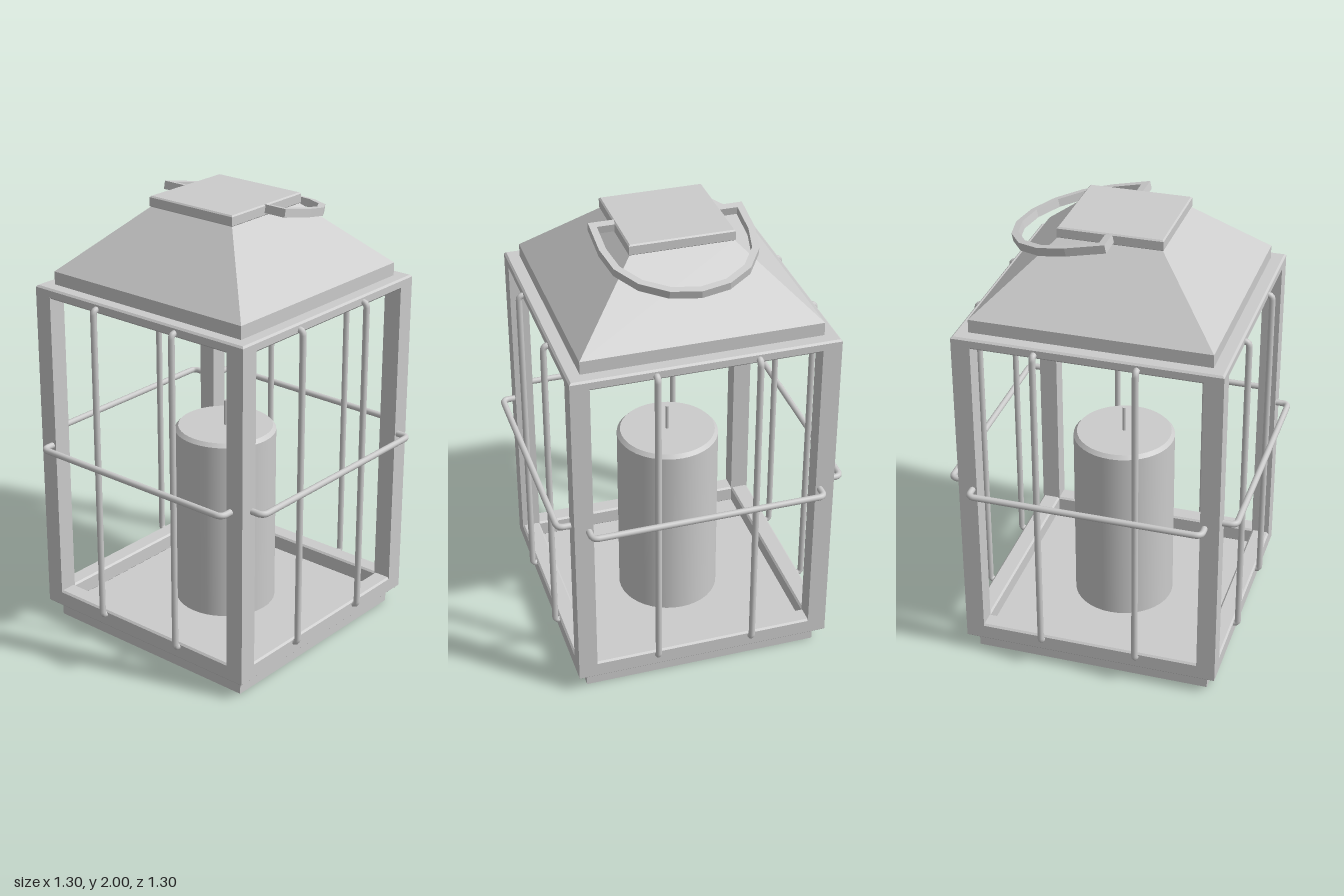
import * as THREE from 'three';

const flat = new THREE.MeshStandardMaterial({ color: 0xcccccc, flatShading: true });
const smooth = new THREE.MeshStandardMaterial({ color: 0xcccccc });

function add(parent, name, geometry, material = flat, x = 0, y = 0, z = 0) {
  const mesh = new THREE.Mesh(geometry, material);
  mesh.name = name;
  mesh.position.set(x, y, z);
  parent.add(mesh);
  return mesh;
}

// Box centred on x and z, between two heights
function slab(parent, name, half, y0, y1) {
  return add(parent, name, new THREE.BoxGeometry(half * 2, y1 - y0, half * 2), flat, 0, (y0 + y1) / 2, 0);
}

function square(Type, half) {
  return new Type([[-1, -1], [1, -1], [1, 1], [-1, 1]].map(([x, y]) => new THREE.Vector2(x * half, y * half)));
}

// Square ring (or plate, when inner is 0) lying flat with small chamfers
function rail(parent, name, outer, inner, y0, y1, bevel) {
  const shape = square(THREE.Shape, outer);
  if (inner) shape.holes.push(square(THREE.Path, inner));
  const geometry = new THREE.ExtrudeGeometry(shape, {
    depth: y1 - y0 - bevel * 2, bevelThickness: bevel, bevelSize: bevel, bevelOffset: -bevel, bevelSegments: 1,
  });
  geometry.rotateX(-Math.PI / 2);
  return add(parent, name, geometry, flat, 0, y0 + bevel, 0);
}

// Round rod bent along corner points with filleted corners
function bentRod(parent, name, corners, fillet) {
  const path = new THREE.CurvePath();
  const p = corners.map((c) => new THREE.Vector3(...c));
  let from = p[0];
  for (let i = 1; i < p.length - 1; i++) {
    const a = p[i].clone().add(p[i - 1].clone().sub(p[i]).setLength(fillet));
    const b = p[i].clone().add(p[i + 1].clone().sub(p[i]).setLength(fillet));
    path.add(new THREE.LineCurve3(from, a));
    path.add(new THREE.QuadraticBezierCurve3(a, p[i], b));
    from = b;
  }
  path.add(new THREE.LineCurve3(from, p[p.length - 1]));
  return add(parent, name, new THREE.TubeGeometry(path, 160, 0.014, 10), smooth);
}

export function createModel() {
  const model = new THREE.Group();
  model.name = 'lantern';
  const body = new THREE.Group();
  body.name = 'body';
  body.position.set(-0.005, 0, 0.004);
  model.add(body);

  // Plinth and open frame
  slab(body, 'plinth', 0.535, 0, 0.076);
  rail(body, 'bottomRail', 0.578, 0.495, 0.072, 0.152, 0.008);
  rail(body, 'topRail', 0.578, 0.495, 1.57, 1.617, 0.008);
  slab(body, 'ceiling', 0.5, 1.575, 1.61);
  for (const x of [-1, 1]) {
    for (const z of [-1, 1]) {
      add(body, 'cornerPost', new THREE.BoxGeometry(0.083, 1.525, 0.083), flat, x * 0.5365, 0.8445, z * 0.5365);
    }
  }

  // Guard rods, the same on every side
  for (let i = 0; i < 4; i++) {
    const side = new THREE.Group();
    side.name = 'guard';
    side.rotation.y = i * Math.PI / 2;
    body.add(side);
    for (const x of [-0.218, 0.218]) {
      bentRod(side, 'uprightRod',
        [[x, 0.133, 0.55], [x, 0.133, 0.596], [x, 1.588, 0.596], [x, 1.588, 0.55]], 0.02);
    }
    bentRod(side, 'crossRod',
      [[-0.515, 0.88, 0.55], [-0.515, 0.88, 0.636], [0.515, 0.88, 0.636], [0.515, 0.88, 0.55]], 0.03);
  }

  // Roof: straight lip, sloping sides and cap
  slab(body, 'roofLip', 0.52, 1.61, 1.675);
  const slope = new THREE.CylinderGeometry(0.222 * Math.SQRT2, 0.52 * Math.SQRT2, 0.28, 4, 1);
  slope.rotateY(Math.PI / 4);
  add(body, 'roofSlope', slope, flat, 0, 1.815, 0);
  rail(body, 'roofCap', 0.228, 0, 1.95, 2, 0.006);

  // Candle with a softened top edge, and its wick
  const candle = [[0, 0.076], [0.228, 0.076], [0.228, 0.076], [0.228, 0.915], [0.228, 0.915],
    [0.213, 0.932], [0.213, 0.932], [0, 0.932]];
  const profile = candle.map(([r, y]) => new THREE.Vector2(r, y));
  for (const [name, from, to] of [['candleSide', 1, 4], ['candleEdge', 4, 6], ['candleTop', 6, 8]]) {
    add(model, name, new THREE.LatheGeometry(profile.slice(from === 1 ? 2 : from, to), 40), smooth);
  }
  add(model, 'wick', new THREE.CylinderGeometry(0.008, 0.008, 0.13, 10), smooth, 0, 0.985, 0);

  // Folded carrying handle: flat strap bent into a U with inward tabs
  const strap = new THREE.Shape();
  const arc = (radius, k) => {
    const a = k * Math.PI / 8;
    return [0.155 + Math.cos(a) * radius, Math.sin(a) * radius];
  };
  strap.moveTo(-0.02, -0.22);
  strap.lineTo(-0.02, -0.335);
  for (let k = -4; k <= 4; k++) strap.lineTo(...arc(0.335, k));
  strap.lineTo(-0.02, 0.335);
  strap.lineTo(-0.02, 0.22);
  strap.lineTo(0.012, 0.22);
  strap.lineTo(0.012, 0.305);
  for (let k = 4; k >= -4; k--) strap.lineTo(...arc(0.305, k));
  strap.lineTo(0.012, -0.305);
  strap.lineTo(0.012, -0.22);
  const handle = new THREE.ExtrudeGeometry(strap, { depth: 0.036, bevelEnabled: false });
  handle.translate(0, 0, -0.018);
  handle.rotateX(-Math.PI / 2);
  handle.rotateZ(-0.215);
  add(model, 'handle', handle, flat, 0, 1.978, 0.003);

  return model;
}
